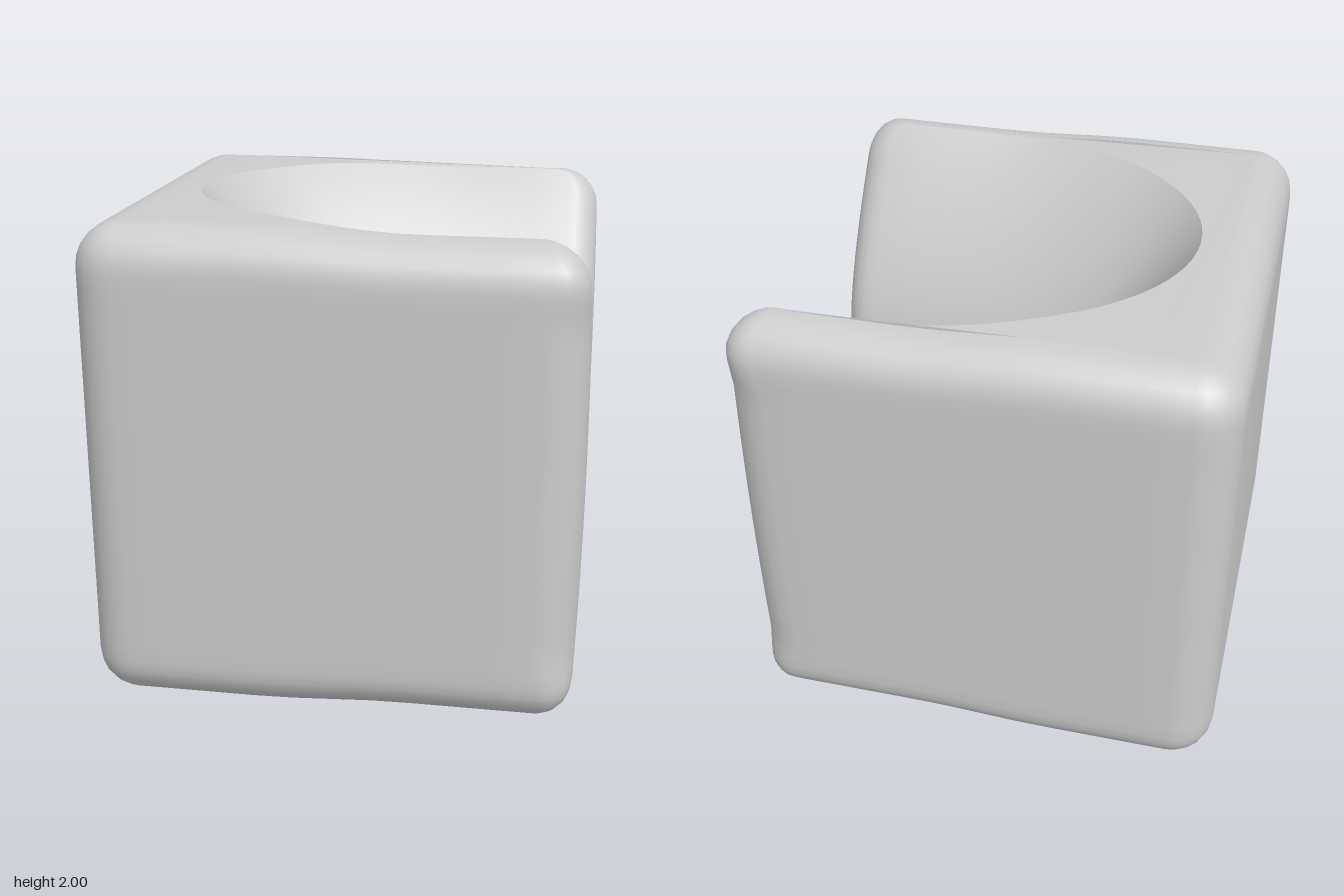
import * as THREE from 'three';
import { toCreasedNormals } from 'three/addons/utils/BufferGeometryUtils.js';

const R = 0.18; // outer edge rounding
const { lerp, smoothstep } = THREE.MathUtils;

// Rounded corner in plan: appends points around (cx, cz) from angle a to a + 90 degrees
function corner(points, cx, cz, r, a) {
  for (let k = 0; k <= 5; k++) {
    const t = a + (k / 5) * Math.PI / 2;
    points.push([cx + r * Math.cos(t), cz + r * Math.sin(t)]);
  }
}

// Closed plan outline at height y, pulled in by inset on the outer sides
function outline(y, inset) {
  const t = Math.abs(y - 1);
  const s = (Math.sqrt(0.1 + t * t) - 0.316) / 0.733; // 0 at the waist, 1 at the rims
  const tip = -0.1 - 0.6 * s;
  const wall = Math.sqrt(0.096 + 0.56 * t * t);
  const side = 1 - inset;
  const end = 1 - inset - 0.02 * t * t;
  const thick = side - wall;
  const inner = Math.min(0.14, thick * 0.45);
  const outer = Math.min(Math.max(R - inset, 0.01), thick * 0.45);
  const back = Math.max(R - inset, 0.01);
  const half = [];

  // channel wall: a parabola at the waist, opening to an elliptical bowl at the rims
  for (let k = 0; k < 20; k++) {
    const u = k / 20;
    const x = tip + (end - inner - tip) * u * u;
    const c = Math.max(0, 1 - (x - tip) / 1.1);
    half.push([x, wall * lerp(u, Math.sqrt(1 - c * c), s)]);
  }
  // arm end
  corner(half, end - inner, wall + inner, inner, -Math.PI / 2);
  corner(half, end - outer, side - outer, outer, 0);
  // long side and closed back corner
  for (let k = 1; k < 10; k++) half.push([lerp(end - outer, -side + back, k / 10), side]);
  corner(half, -side + back, side - back, back, Math.PI / 2);
  half.push([-side, 0]);

  const mirrored = half.slice(1, -1).reverse().map(([x, z]) => [x, -z]);
  return half.concat(mirrored);
}

function bodyGeometry() {
  // levels: rounded bottom edge, straight sides, rounded top edge
  const upper = [];
  for (let k = 0; k < 12; k++) upper.push([1 + (1 - R) * k / 12, 0]);
  for (let k = 0; k <= 6; k++) {
    const a = (k / 6) * Math.PI / 2;
    upper.push([2 - R + R * Math.sin(a), R * (1 - Math.cos(a))]);
  }
  const levels = upper.slice(1).reverse().map(([y, i]) => [2 - y, i]).concat(upper);
  const rings = levels.map(([y, inset]) => outline(y, inset));
  const n = rings[0].length;

  const positions = [];
  rings.forEach((ring, j) => ring.forEach(([x, z]) => {
    // the open side is very slightly lower than the closed side
    const squash = 1 - 0.025 * smoothstep(x, -0.3, 0.3);
    positions.push(x, 1 + (levels[j][0] - 1) * squash, z);
  }));

  const index = [];
  for (let j = 0; j < rings.length - 1; j++) {
    for (let i = 0; i < n; i++) {
      const a = j * n + i, b = j * n + (i + 1) % n, c = b + n, d = a + n;
      index.push(a, c, b, a, d, c);
    }
  }
  // flat top and bottom
  const cap = (ring, base, up) => {
    const pts = ring.map(([x, z]) => new THREE.Vector2(x, z));
    for (const [a, b, c] of THREE.ShapeUtils.triangulateShape(pts, [])) {
      const ccw = THREE.ShapeUtils.area([pts[a], pts[b], pts[c]]) > 0;
      if (ccw !== up) index.push(base + a, base + b, base + c);
      else index.push(base + a, base + c, base + b);
    }
  };
  cap(rings[0], 0, false);
  cap(rings[rings.length - 1], (rings.length - 1) * n, true);

  const geometry = new THREE.BufferGeometry();
  geometry.setAttribute('position', new THREE.Float32BufferAttribute(positions, 3));
  geometry.setIndex(index);
  return toCreasedNormals(geometry, 0.65);
}

export function createModel() {
  const group = new THREE.Group();
  group.name = 'carvedCube';
  const grey = new THREE.MeshStandardMaterial({ color: 0xcccccc });
  grey.name = 'light grey';
  const body = new THREE.Mesh(bodyGeometry(), grey);
  body.name = 'carvedBody';
  group.add(body);
  return group;
}
